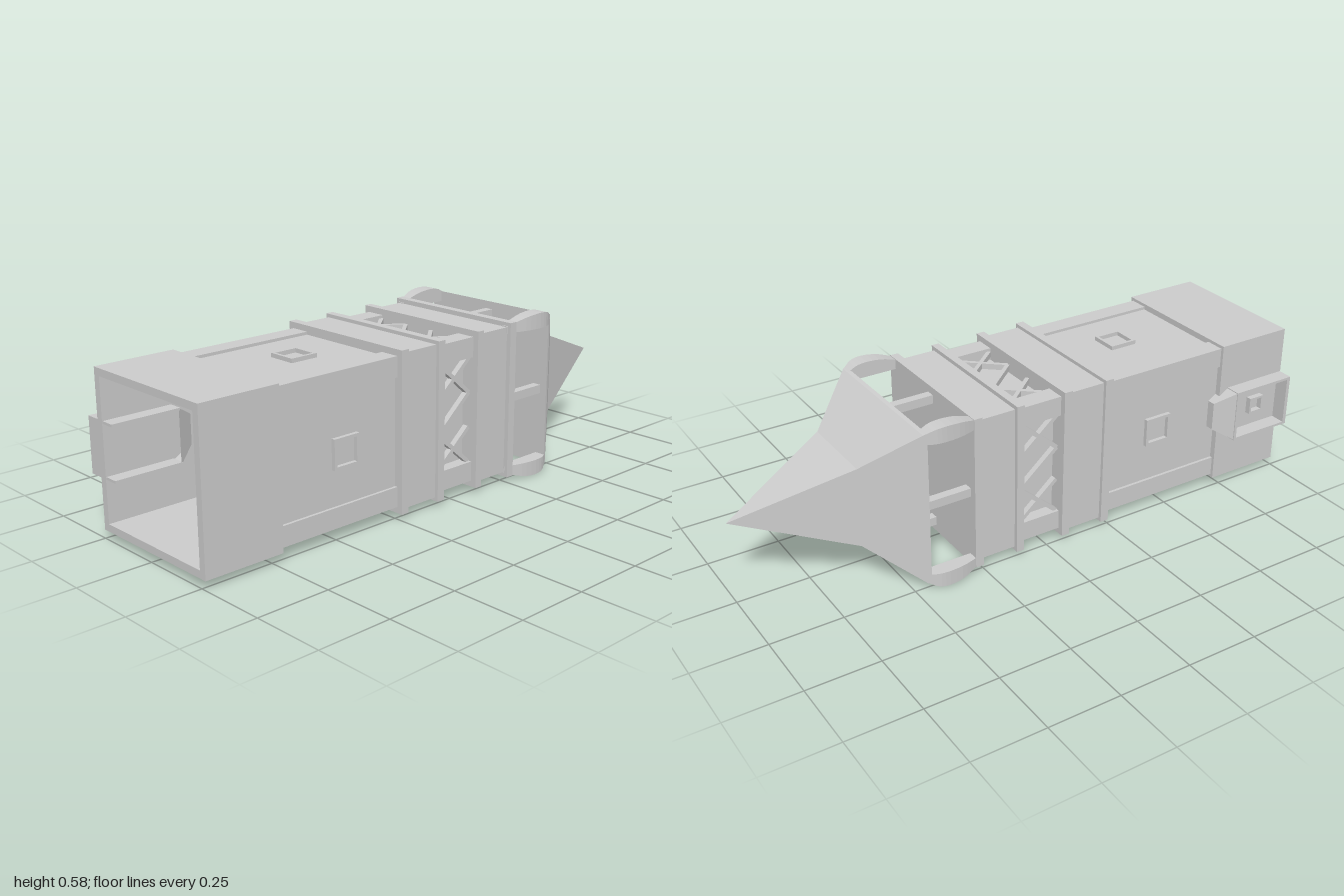
import * as THREE from 'three';

const mat = new THREE.MeshStandardMaterial({ color: 0xcccccc, flatShading: true });
const thin = new THREE.MeshStandardMaterial({ color: 0xcccccc, flatShading: true, side: THREE.DoubleSide });

function add(parent, name, geometry, material = mat) {
  const mesh = new THREE.Mesh(geometry, material);
  mesh.name = name;
  parent.add(mesh);
  return mesh;
}

// Box given by its limits on each axis
function block(parent, name, x0, x1, y0, y1, z0, z1) {
  const mesh = add(parent, name, new THREE.BoxGeometry(x1 - x0, y1 - y0, z1 - z0));
  mesh.position.set((x0 + x1) / 2, (y0 + y1) / 2, (z0 + z1) / 2);
  return mesh;
}

// Solid square slab across the tower axis
const slab = (parent, name, h, z0, z1) => block(parent, name, -h, h, -h, h, z0, z1);

// Square tube or frame, extruded along z
function frameGeometry(outer, inner, depth) {
  const square = (C, h) => new C([[-h, -h], [h, -h], [h, h], [-h, h]].map(p => new THREE.Vector2(...p)));
  const shape = square(THREE.Shape, outer);
  shape.holes.push(square(THREE.Path, inner));
  return new THREE.ExtrudeGeometry(shape, { depth, bevelEnabled: false });
}
function tube(parent, name, outer, inner, z0, z1) {
  add(parent, name, frameGeometry(outer, inner, z1 - z0)).position.z = z0;
}

// Loft through rectangles [x0, x1, y0, y1, z] listed from front to back
function loft(sections, capFront = true) {
  const rings = sections.map(([x0, x1, y0, y1, z]) => [[x0, y0, z], [x1, y0, z], [x1, y1, z], [x0, y1, z]]);
  const pos = [];
  const quad = (a, b, c, d) => pos.push(...a, ...b, ...c, ...a, ...c, ...d);
  for (let s = 0; s < rings.length - 1; s++) {
    for (let i = 0; i < 4; i++) {
      const j = (i + 1) % 4;
      quad(rings[s][i], rings[s + 1][i], rings[s + 1][j], rings[s][j]);
    }
  }
  if (capFront) quad(...rings[0]);
  quad(...rings[rings.length - 1].slice().reverse());
  const g = new THREE.BufferGeometry();
  g.setAttribute('position', new THREE.Float32BufferAttribute(pos, 3));
  g.computeVertexNormals();
  return g;
}

// Lattice bar lying in the face plane between two (x, z) points
function bar(parent, x0, z0, x1, z1) {
  const mesh = add(parent, 'latticeBar', new THREE.BoxGeometry(Math.hypot(x1 - x0, z1 - z0), 0.02, 0.014));
  mesh.position.set((x0 + x1) / 2, 0.228, (z0 + z1) / 2);
  mesh.rotation.y = -Math.atan2(z1 - z0, x1 - x0);
}

// Everything that repeats on each of the four sides
function towerSide() {
  const side = new THREE.Group();
  side.name = 'towerSide';
  for (const s of [-1, 1]) {
    const a = Math.min(s * 0.18, s * 0.248), b = Math.max(s * 0.18, s * 0.248);
    block(side, 'shaftPilaster', a, b, 0.234, 0.248, 0.24, 0.73);
    block(side, 'latticePost', a, b, 0.2, 0.248, -0.1, 0.06);
    // crossed bars at both ends of the lattice
    bar(side, s * 0.06, -0.09, s * 0.18, 0.05);
    bar(side, s * 0.06, 0.05, s * 0.18, -0.09);
  }
  bar(side, -0.06, -0.09, 0.06, 0.05);
  const windowFrame = add(side, 'windowFrame', frameGeometry(0.05, 0.04, 0.018));
  windowFrame.rotation.x = -Math.PI / 2;
  windowFrame.position.set(0.01, 0.234, 0.46);
  block(side, 'belfryMullion', -0.015, 0.015, 0.215, 0.245, -0.45, -0.27);
  return side;
}

export function createModel() {
  const model = new THREE.Group();
  model.name = 'bellTower';
  const tower = new THREE.Group();
  tower.name = 'tower';
  tower.position.set(0.01, 0.288, 0);
  model.add(tower);

  // Hollow base and shaft
  tube(tower, 'base', 0.259, 0.234, 0.72, 1);
  tube(tower, 'shaft', 0.238, 0.234, 0.23, 0.73);

  // Storeys between the collars
  slab(tower, 'lowerStorey', 0.257, 0.08, 0.22);
  slab(tower, 'latticeCore', 0.205, -0.1, 0.06);
  slab(tower, 'upperStorey', 0.255, -0.255, -0.12);
  for (const [z0, z1] of [[0.217, 0.247], [0.056, 0.085], [-0.123, -0.096]]) slab(tower, 'collar', 0.269, z0, z1);
  slab(tower, 'belfryFloor', 0.271, -0.281, -0.252);

  for (let k = 0; k < 4; k++) {
    const side = towerSide();
    side.rotation.z = k * Math.PI / 2;
    tower.add(side);
  }

  // Bulging corner ribs of the belfry
  const curve = new THREE.CatmullRomCurve3([[0.258, -0.25], [0.272, -0.29], [0.284, -0.335], [0.288, -0.39], [0.283, -0.425], [0.268, -0.455]]
    .map(([h, z]) => new THREE.Vector3(h, 0, z)));
  for (const sx of [-1, 1]) for (const sy of [-1, 1]) {
    const sections = curve.getPoints(12).map(p => {
      const span = s => [Math.min(s * 0.235, s * p.x), Math.max(s * 0.235, s * p.x)];
      return [...span(sx), ...span(sy), p.z];
    });
    add(tower, 'belfryRib', loft(sections));
  }

  // Two-stage spire
  add(tower, 'spire', loft([[0.272, -0.445], [0.268, -0.457], [0.14, -0.62], [0.0005, -1]].map(([h, z]) => [-h, h, -h, h, z])));

  // Porch on the right-hand wall
  const porch = new THREE.Group();
  porch.name = 'porch';
  model.add(porch);
  for (const y of [0.197, 0.374]) block(porch, 'porchWall', -0.303, -0.175, y, y + 0.009, 0.755, 0.998);
  block(porch, 'porchEnd', -0.303, -0.25, 0.2, 0.38, 0.985, 0.998);
  block(porch, 'porchSill', -0.303, -0.25, 0.2, 0.38, 0.755, 0.765);
  add(porch, 'porchRoof', loft([[-0.303, -0.175, 0.197, 0.383, 0.76], [-0.257, -0.217, 0.24, 0.34, 0.69]], false), thin);
  const door = add(porch, 'porchDoor', frameGeometry(0.03, 0.022, 0.02));
  door.rotation.y = -Math.PI / 2;
  door.position.set(-0.249, 0.29, 0.88);

  return model;
}
